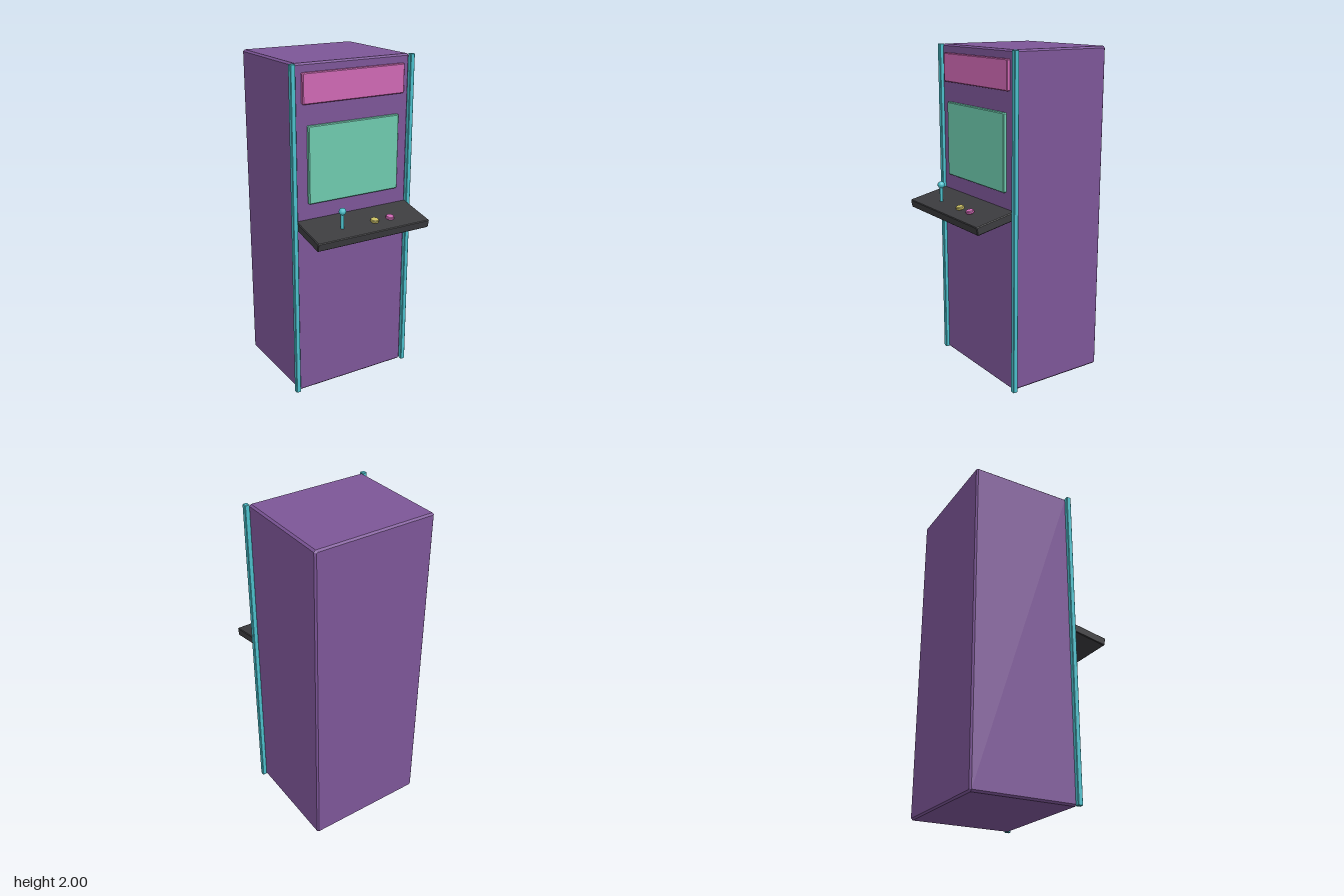
import * as THREE from 'three';

const mat = (name, color) => {
  const m = new THREE.MeshStandardMaterial({ color });
  m.name = name;
  return m;
};

// Box with single-step chamfers on every edge
function chamferBox(w, h, d, c) {
  const x = w / 2 - c, y = h / 2 - c, k = c * 0.5;
  const s = new THREE.Shape([
    [x, -y + k], [x, y - k], [x - k, y], [-x + k, y],
    [-x, y - k], [-x, -y + k], [-x + k, -y], [x - k, -y],
  ].map(([a, b]) => new THREE.Vector2(a, b)));
  const g = new THREE.ExtrudeGeometry(s, {
    depth: d - 2 * c, bevelEnabled: true, bevelSegments: 1, bevelSize: c, bevelThickness: c,
  });
  return g.translate(0, 0, -(d - 2 * c) / 2);
}

export function createModel() {
  const purple = mat('cabinet purple', 0x7d5698);
  const charcoal = mat('charcoal', 0x3c3c3f);
  const cyan = mat('cyan', 0x4bbfcb);
  const pink = mat('pink', 0xcf68b4);
  const green = mat('screen green', 0x6ecaae);
  const yellow = mat('yellow', 0xc8bd62);

  const model = new THREE.Group();
  model.name = 'arcadeCabinet';
  const add = (parent, name, geo, material, x, y, z) => {
    const m = new THREE.Mesh(geo, material);
    m.name = name;
    m.position.set(x, y, z);
    parent.add(m);
    return m;
  };

  // Cabinet body with the sign and screen raised on its front
  add(model, 'cabinet', chamferBox(0.754, 2, 0.645, 0.01), purple, 0, 1, -0.126);
  add(model, 'marquee', chamferBox(0.667, 0.172, 0.04, 0.005), pink, 0, 1.864, 0.197);
  add(model, 'screen', chamferBox(0.602, 0.452, 0.04, 0.005), green, 0, 1.432, 0.197);

  // Upright trims on both front edges
  for (const [side, name] of [[1, 'leftTrim'], [-1, 'rightTrim']]) {
    add(model, name, chamferBox(0.029, 2, 0.03, 0.003), cyan, side * 0.3895, 1, 0.2);
  }

  // Sloping control deck with its buttons
  const tilt = 0.2;
  const deck = new THREE.Group();
  deck.name = 'controlDeck';
  deck.position.set(0, 1.0615, 0.315);
  deck.rotation.x = tilt;
  model.add(deck);
  add(deck, 'deckBoard', chamferBox(0.754, 0.05, 0.262, 0.004), charcoal, 0, 0, 0);
  const button = new THREE.LatheGeometry(
    [[0, 0], [0.021, 0], [0.025, 0.004], [0.025, 0.014], [0.021, 0.018], [0, 0.018]]
      .map(([r, y]) => new THREE.Vector2(r, y)), 16).toNonIndexed();
  button.computeVertexNormals();
  add(deck, 'yellowButton', button, yellow, 0.052, 0.025, 0.031);
  add(deck, 'pinkButton', button, pink, 0.16, 0.025, 0.031);

  // Upright joystick
  const stick = new THREE.Group();
  stick.name = 'joystick';
  stick.position.set(-0.165, 0, 0.35);
  model.add(stick);
  add(stick, 'shaft', new THREE.CylinderGeometry(0.01, 0.01, 0.1, 10), cyan, 0, 1.13, 0);
  add(stick, 'ball', new THREE.IcosahedronGeometry(0.022, 1), cyan, 0, 1.182, 0);

  return model;
}
